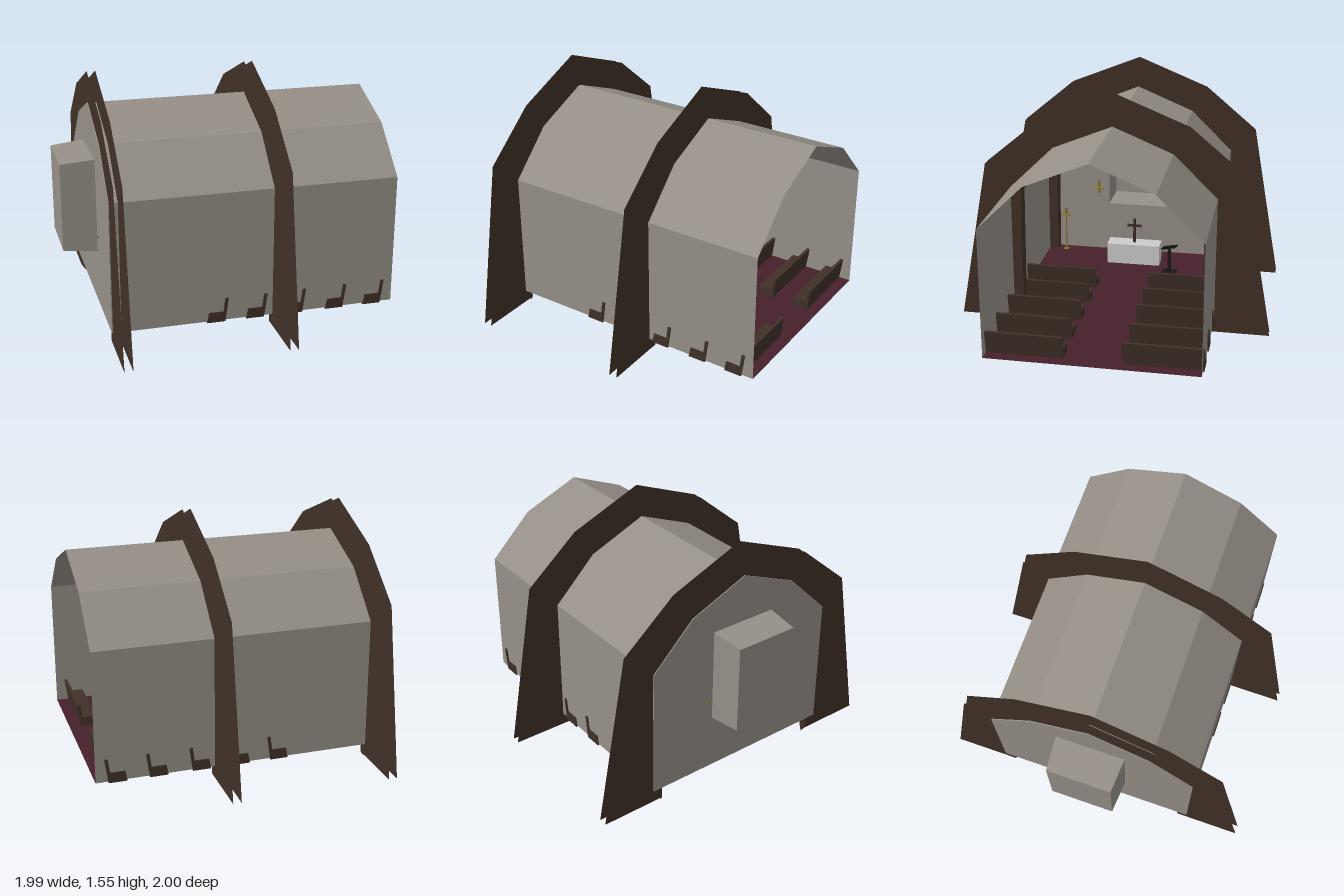
import * as THREE from 'three';

const mat = (color, flat = true) =>
  new THREE.MeshStandardMaterial({ color, flatShading: flat, side: THREE.DoubleSide });
const plaster = mat(0x958f87), wood = mat(0x403027), carpet = mat(0x45202a);
const stone = mat(0xcccccc), brass = mat(0x8a7a3c), darkWood = mat(0x3d2a28), lecternWood = mat(0x1f1814);

const mesh = (name, geo, material) => {
  const m = new THREE.Mesh(geo, material);
  m.name = name;
  return m;
};

const box = (name, material, [w, h, d], [x, y, z]) => {
  const m = mesh(name, new THREE.BoxGeometry(w, h, d), material);
  m.position.set(x, y, z);
  return m;
};

// Half profile [z, y] from the ground up to the ridge, mirrored over z = 0
const mirrored = (half) => [...half, ...half.slice(0, -1).reverse().map(([z, y]) => [-z, y])];

// Flat quads between two cross-sections of [z, y] points at xa and xb
function loft(a, xa, b, xb, closed = false) {
  const p = [];
  const n = closed ? a.length : a.length - 1;
  for (let i = 0; i < n; i++) {
    const j = (i + 1) % a.length;
    const A = [xa, a[i][1], a[i][0]], B = [xa, a[j][1], a[j][0]];
    const C = [xb, b[j][1], b[j][0]], D = [xb, b[i][1], b[i][0]];
    p.push(...A, ...D, ...C, ...A, ...C, ...B);
  }
  const g = new THREE.BufferGeometry();
  g.setAttribute('position', new THREE.Float32BufferAttribute(p, 3));
  g.computeVertexNormals();
  return g;
}

// Flat plate facing along x from an outline of [z, y] points
function plate(outline, x, hole) {
  const shape = new THREE.Shape(outline.map(([z, y]) => new THREE.Vector2(z, y)));
  if (hole) shape.holes.push(new THREE.Path(hole.map(([z, y]) => new THREE.Vector2(z, y))));
  const g = new THREE.ShapeGeometry(shape);
  g.rotateY(-Math.PI / 2);
  g.translate(x, 0, 0);
  return g;
}

const rect = (w, y0, y1) => [[w, y0], [w, y1], [-w, y1], [-w, y0]];

// Rib: two thin plates joined by a pointed lining on the inner edge
function makeRib(x) {
  const rib = new THREE.Group();
  rib.name = 'archRib';
  const outer = mirrored([[1, 0.04], [0.81, 1.08], [0.47, 1.365], [0, 1.555]]);
  const inner = mirrored([[0.588, 0.04], [0.584, 0.935], [0.338, 1.16], [0, 1.29]]);
  const ridge = mirrored([[0.577, 0.003], [0.567, 0.925], [0.328, 1.147], [0, 1.273]]);
  const outline = [...outer, ...inner.slice().reverse()];
  for (const s of [-1, 1]) {
    rib.add(mesh('ribPlate', plate(outline, x + s * 0.026), wood));
    rib.add(mesh('ribLining', loft(inner, x + s * 0.026, ridge, x), wood));
  }
  return rib;
}

// Bench: side profile extruded across half of the hall
function makeBench(x, side) {
  const pts = [[0, 0.111], [0.113, 0.111], [0.134, 0.262], [0.114, 0.262], [0.103, 0.175], [0.012, 0.175]];
  const g = new THREE.ExtrudeGeometry(
    new THREE.Shape(pts.map(([px, y]) => new THREE.Vector2(px, y))),
    { depth: 0.48, bevelEnabled: false });
  const m = mesh('bench', g, wood);
  m.position.set(x, 0, side > 0 ? 0.178 : -0.658);
  return m;
}

function makeCandleStand(z) {
  const g = new THREE.Group();
  g.name = 'candleStand';
  const cyl = (name, r, h, y) => {
    const c = mesh(name, new THREE.CylinderGeometry(r, r, h, 12), brass);
    c.position.y = y;
    g.add(c);
  };
  cyl('standBase', 0.02, 0.012, 0.117);
  cyl('standPole', 0.005, 0.27, 0.25);
  cyl('dripPan', 0.03, 0.006, 0.385);
  cyl('candle', 0.011, 0.055, 0.412);
  g.position.set(-0.728, 0, z);
  return g;
}

function makeSconce(z) {
  const g = new THREE.Group();
  g.name = 'wallSconce';
  g.add(box('sconceArm', brass, [0.045, 0.01, 0.01], [-0.777, 0.595, z]));
  const pan = mesh('sconcePan', new THREE.CylinderGeometry(0.038, 0.038, 0.007, 12), brass);
  pan.position.set(-0.757, 0.598, z);
  const candle = mesh('sconceCandle', new THREE.CylinderGeometry(0.009, 0.009, 0.1, 10), brass);
  candle.position.set(-0.757, 0.608, z);
  g.add(pan, candle);
  return g;
}

export function createModel() {
  const model = new THREE.Group();
  model.name = 'chapel';
  const xBack = -0.79, xFront = 0.99, floorY = 0.118;

  // Vaulted shell, open at the front end
  const vault = mirrored([[0.65, floorY], [0.65, 0.935], [0.375, 1.205], [0, 1.36]]);
  model.add(mesh('vaultShell', loft(vault, xBack, vault, xFront), plaster));

  // End wall with a tapered box niche
  const nicheIn = rect(0.218, 0.468, 1.062), nicheOut = rect(0.203, 0.488, 1.042);
  model.add(mesh('endWall', plate(vault, xBack, nicheIn), plaster));
  model.add(mesh('nicheSides', loft(nicheIn, xBack, nicheOut, -1, true), plaster));
  model.add(mesh('nicheBack', plate(nicheOut, -1), plaster));

  // Floor
  const floor = mesh('floor', new THREE.PlaneGeometry(xFront - xBack, 1.3).rotateX(-Math.PI / 2), carpet);
  floor.position.set((xBack + xFront) / 2, floorY, 0);
  model.add(floor);

  // Arch ribs
  for (const x of [-0.758, 0.233]) model.add(makeRib(x));

  // Two rows of benches
  for (const x of [-0.208, 0.038, 0.285, 0.55, 0.8])
    for (const side of [-1, 1]) model.add(makeBench(x, side));

  // Altar with a standing cross
  model.add(box('altar', stone, [0.12, 0.152, 0.37], [-0.59, 0.187, 0]));
  model.add(box('crossUpright', darkWood, [0.015, 0.175, 0.016], [-0.59, 0.35, 0]));
  model.add(box('crossArm', darkWood, [0.015, 0.015, 0.1], [-0.59, 0.388, 0]));

  // Lectern
  const lectern = new THREE.Group();
  lectern.name = 'lectern';
  lectern.add(box('lecternBase', lecternWood, [0.1, 0.012, 0.1], [0, 0.117, 0]));
  lectern.add(box('lecternPost', lecternWood, [0.022, 0.18, 0.022], [0, 0.205, 0]));
  const top = box('lecternTop', lecternWood, [0.075, 0.01, 0.1], [0, 0.306, 0]);
  top.rotation.set(0, 0.45, 0.6);
  lectern.add(top);
  lectern.position.set(-0.435, 0, -0.27);
  model.add(lectern);

  // Candle stands and wall sconces
  for (const z of [0.525, -0.525]) model.add(makeCandleStand(z));
  for (const z of [0.287, -0.262]) model.add(makeSconce(z));

  return model;
}
